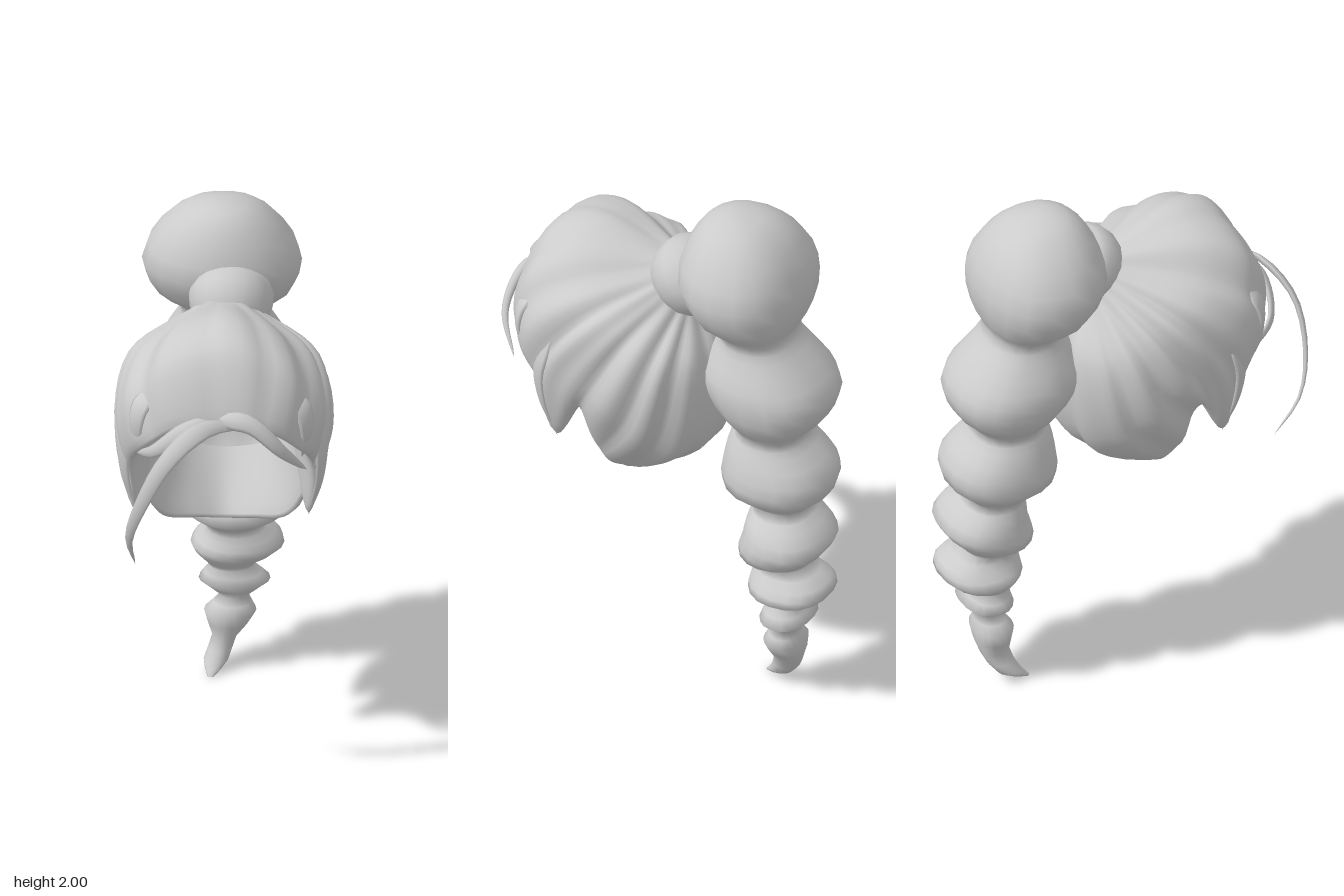
import * as THREE from 'three';

const mat = new THREE.MeshStandardMaterial({ color: 0xcccccc, side: THREE.DoubleSide });
const V = (x, y, z) => new THREE.Vector3(x, y, z);

// Skin a list of closed rings with smooth normals
function loft(rings) {
  const n = rings[0].length, index = [];
  for (let i = 0; i < rings.length - 1; i++) {
    for (let j = 0; j < n; j++) {
      const a = i * n + j, b = i * n + (j + 1) % n;
      index.push(a, b, a + n, b, b + n, a + n);
    }
  }
  const g = new THREE.BufferGeometry().setFromPoints(rings.flat());
  g.setIndex(index);
  g.computeVertexNormals();
  return g;
}

function part(group, name, geometry) {
  const m = new THREE.Mesh(geometry, mat);
  m.name = name;
  group.add(m);
  return m;
}

// Hair swept from the tie to the hairline: half the columns, front to back,
// each with four points from the tie down to the rim
const columns = [
  [[0, 1.74, .02], [0, 1.82, .3], [0, 1.76, .46], [0, 1.53, .56]],
  [[.05, 1.74, .01], [.16, 1.77, .3], [.2, 1.69, .46], [.16, 1.49, .55]],
  [[.08, 1.72, 0], [.28, 1.67, .25], [.33, 1.55, .42], [.28, 1.38, .48]],
  [[.1, 1.7, -.03], [.33, 1.61, .17], [.38, 1.41, .34], [.33, 1.27, .38]],
  [[.11, 1.68, -.05], [.34, 1.56, .09], [.38, 1.31, .26], [.31, 1.03, .3]],
  [[.11, 1.65, -.08], [.33, 1.52, .01], [.385, 1.3, .13], [.33, 1.19, .2]],
  [[.1, 1.62, -.1], [.32, 1.46, -.08], [.37, 1.2, .01], [.29, 1.02, .15]],
  [[.08, 1.6, -.12], [.27, 1.42, -.16], [.3, 1.09, -.09], [.22, .91, .11]],
  [[.05, 1.58, -.13], [.14, 1.4, -.23], [.17, 1.03, -.18], [.11, .87, .05]],
  [[0, 1.57, -.14], [0, 1.4, -.23], [0, 1.02, -.19], [0, .85, .01]],
];

function capGeometry() {
  const centre = V(0, 1.3, .1);
  const build = (c, s) => {
    const p = c.map(([x, y, z]) => V(x * s, y, z));
    p.push(p[2].clone().lerp(centre, .12 + .6 * c[2][0])); // hem folds inward, deeper at the sides
    return new THREE.CatmullRomCurve3(p);
  };
  const curves = columns.map(c => build(c, -1))
    .concat(columns.slice(1, -1).reverse().map(c => build(c, 1)));
  const rings = [], rows = 24, per = 6, n = curves.length * per;
  for (let i = 0; i <= rows; i++) {
    const t = i / rows;
    const ring = new THREE.CatmullRomCurve3(curves.map(c => c.getPoint(t)), true);
    // locks of uneven width with creases between them, fading at both ends
    const depth = Math.sin(Math.PI * Math.min(1, t / .78)) * .028;
    rings.push(Array.from({ length: n }, (_, j) => {
      const p = ring.getPoint(j / n), a = j / n * Math.PI * 2;
      const lobe = Math.abs(Math.cos(7 * a + .8 * Math.sin(3 * a + 1) + .5 * t)) - .75;
      return p.addScaledVector(p.clone().sub(centre).normalize(), depth * (lobe + .2 * Math.sin(19 * a)));
    }));
  }
  return loft(rings);
}

// Bubble braid sections: y, min x, max x, front z, back z
const braid = [
  [2, -.06, .03, -.22, -.3], [1.97, -.15, .12, -.15, -.4], [1.88, -.25, .21, -.09, -.49],
  [1.75, -.31, .27, -.06, -.54], [1.62, -.26, .23, -.13, -.525], [1.54, -.17, .15, -.22, -.49],
  [1.48, -.19, .16, -.2, -.53], [1.38, -.24, .21, -.15, -.62], [1.3, -.25, .22, -.16, -.655],
  [1.21, -.22, .2, -.23, -.62], [1.13, -.15, .14, -.29, -.55], [1.08, -.17, .16, -.26, -.58],
  [.99, -.2, .2, -.24, -.66], [.9, -.2, .2, -.24, -.65], [.82, -.12, .11, -.36, -.57],
  [.77, -.14, .18, -.35, -.62], [.7, -.16, .22, -.34, -.67], [.63, -.15, .2, -.32, -.62],
  [.58, -.08, .12, -.38, -.58], [.53, -.1, .17, -.37, -.66], [.48, -.14, .2, -.36, -.67],
  [.43, -.1, .12, -.4, -.6], [.4, -.07, .09, -.42, -.55], [.34, -.11, .15, -.4, -.59],
  [.28, -.03, .07, -.44, -.53], [.22, -.09, .1, -.4, -.55], [.12, -.06, .03, -.42, -.53],
  [.04, -.09, 0, -.39, -.48], [0, -.075, -.05, -.36, -.38],
];

function braidGeometry() {
  // each section is rounder in front and squarer behind
  const ring = ([y, x0, x1, z0, z1], k = 1) => Array.from({ length: 18 }, (_, j) => {
    const a = j / 18 * Math.PI * 2, c = Math.cos(a), s = Math.sin(a), e = s < 0 ? .85 : 1;
    return V((x0 + x1) / 2 + k * (x1 - x0) / 2 * Math.sign(c) * Math.abs(c) ** e, y,
      (z0 + z1) / 2 + k * (z0 - z1) / 2 * Math.sign(s) * Math.abs(s) ** e);
  });
  const rings = braid.map(r => ring(r));
  // smooth the bubbles with rows in between
  const lines = rings[0].map((_, j) => new THREE.CatmullRomCurve3(rings.map(r => r[j])));
  const steps = (rings.length - 1) * 2;
  const smooth = Array.from({ length: steps + 1 }, (_, i) => lines.map(l => l.getPoint(i / steps)));
  return loft([ring(braid[0], 0), ...smooth, ring(braid[braid.length - 1], 0)]);
}

// Flattened strand tapering to a point, broad side facing away from the head
function strandGeometry(points, width, thick) {
  const curve = new THREE.CatmullRomCurve3(points.map(p => V(...p)));
  const rings = [], steps = 16;
  for (let i = 0; i <= steps; i++) {
    const t = i / steps, p = curve.getPoint(t), tan = curve.getTangent(t);
    const out = p.clone().sub(V(0, 1.25, .1));
    out.addScaledVector(tan, -out.dot(tan)).normalize();
    const side = tan.clone().cross(out);
    const k = Math.min(1, .1 + t * 4) * Math.pow(1 - t, .6);
    rings.push(Array.from({ length: 8 }, (_, j) => {
      const a = -j / 8 * Math.PI * 2;
      return p.clone().addScaledVector(side, Math.cos(a) * width * k)
        .addScaledVector(out, -Math.sin(a) * thick * k);
    }));
  }
  return loft(rings);
}

export function createModel() {
  const group = new THREE.Group();
  group.name = 'hair';
  part(group, 'sweptHair', capGeometry());
  part(group, 'bubbleBraid', braidGeometry());

  // Band joining the swept hair to the braid
  const profile = [[.1, -.1], [.13, -.07], [.15, -.02], [.155, .03], [.14, .07], [.1, .1]];
  const tie = part(group, 'hairTie',
    new THREE.LatheGeometry(profile.map(p => new THREE.Vector2(...p)), 20));
  tie.position.set(.02, 1.685, -.085);
  tie.rotation.x = -.86;

  // Loose strands over the brow and beside the face
  const strands = [
    ['longStrand', [[.1, 1.5, .53], [-.06, 1.52, .6], [-.19, 1.42, .66], [-.28, 1.25, .66],
      [-.33, 1.08, .61], [-.31, .92, .51]], .045, .016],
    ['browStrandRight', [[.05, 1.54, .52], [-.12, 1.5, .57], [-.24, 1.4, .54], [-.31, 1.33, .42]], .045, .02],
    ['browStrandLeft', [[-.07, 1.53, .53], [.1, 1.53, .57], [.22, 1.42, .57], [.31, 1.3, .48]], .045, .025],
  ];
  for (const s of [-1, 1]) {
    strands.push(['sideLock', [[.35 * s, 1.5, .3], [.36 * s, 1.33, .35], [.35 * s, 1.18, .34],
      [.31 * s, 1.02, .3]], .05, .015]);
    strands.push(['templeLock', [[.25 * s, 1.6, .42], [.3 * s, 1.52, .46], [.31 * s, 1.42, .46],
      [.29 * s, 1.31, .4]], .05, .015]);
  }
  for (const [name, points, width, thick] of strands) {
    part(group, name, strandGeometry(points, width, thick));
  }
  return group;
}
